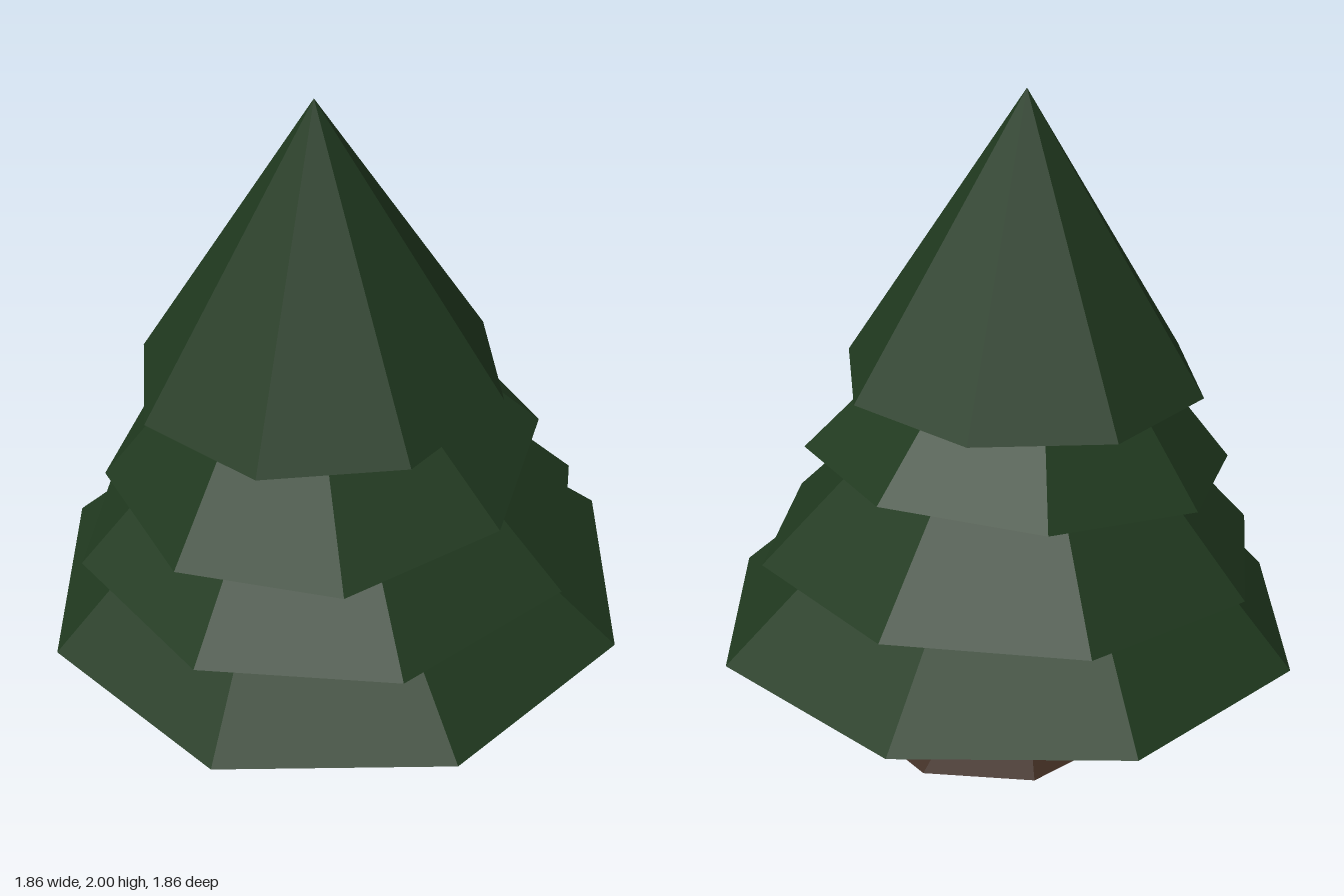
import * as THREE from 'three';

const SIDES = 8;

// Eight-cornered ring; tiltX / tiltZ are the slopes of its plane.
function ring({ r, x = 0, y, z = 0, turn = 0, tiltX = 0, tiltZ = 0 }) {
  return Array.from({ length: SIDES }, (_, i) => {
    const a = turn + (i / SIDES) * Math.PI * 2;
    const dx = r * Math.sin(a), dz = r * Math.cos(a);
    return [x + dx, y + tiltX * dx + tiltZ * dz, z + dz];
  });
}

// Flat-shaded skin through rings from bottom to top, closed by a point at each end.
function skin(name, material, bottom, rings, top) {
  const pos = [];
  const tri = (a, b, c) => pos.push(...a, ...b, ...c);
  const last = rings[rings.length - 1];
  for (let i = 0; i < SIDES; i++) {
    const j = (i + 1) % SIDES;
    tri(bottom, rings[0][j], rings[0][i]);
    for (let k = 0; k + 1 < rings.length; k++) {
      const lo = rings[k], hi = rings[k + 1];
      tri(lo[i], lo[j], hi[j]);
      tri(lo[i], hi[j], hi[i]);
    }
    tri(last[i], last[j], top);
  }
  const geometry = new THREE.BufferGeometry();
  geometry.setAttribute('position', new THREE.Float32BufferAttribute(pos, 3));
  geometry.computeVertexNormals();
  const mesh = new THREE.Mesh(geometry, material);
  mesh.name = name;
  return mesh;
}

export function createModel() {
  const tree = new THREE.Group();
  tree.name = 'pineTree';
  const bark = new THREE.MeshStandardMaterial({ color: 0x3d2a1f, flatShading: true });
  const needles = new THREE.MeshStandardMaterial({ color: 0x20391f, flatShading: true });

  // Trunk: flared foot, leaning slightly forward as it rises
  const trunkRings = [
    { r: 0.45, y: 0, z: -0.09 },
    { r: 0.385, y: 0.04, z: -0.065 },
    { r: 0.315, y: 0.22, z: -0.035 },
    { r: 0.24, y: 0.48, z: 0.02 },
  ].map(ring);
  tree.add(skin('trunk', bark, [0, 0, -0.09], trunkRings, [0, 0.48, 0.02]));

  // Foliage: tilted cones with hollowed undersides, lowest first
  const tiers = [
    { r: 0.937, y: 0.285, z: 0, turn: 0.123, tiltX: -0.015, tiltZ: -0.07, tip: [0, 1.19, 0.17] },
    { r: 0.8, y: 0.54, z: 0.03, turn: 0, tiltX: -0.012, tiltZ: -0.0875, tip: [0, 1.38, 0.1] },
    { r: 0.67, x: 0.005, y: 0.83, z: 0.09, turn: -0.17, tiltZ: -0.15, tip: [0, 1.57, 0.2] },
    { r: 0.57, y: 1.1, z: 0.1, turn: 0.21, tiltZ: -0.054, tip: [0.01, 2, 0.14] },
  ];
  tiers.forEach((t, i) => {
    const hollow = [0, t.y + 0.18 * t.r, t.z];
    tree.add(skin(`foliageTier${i + 1}`, needles, hollow, [ring(t)], t.tip));
  });

  return tree;
}
